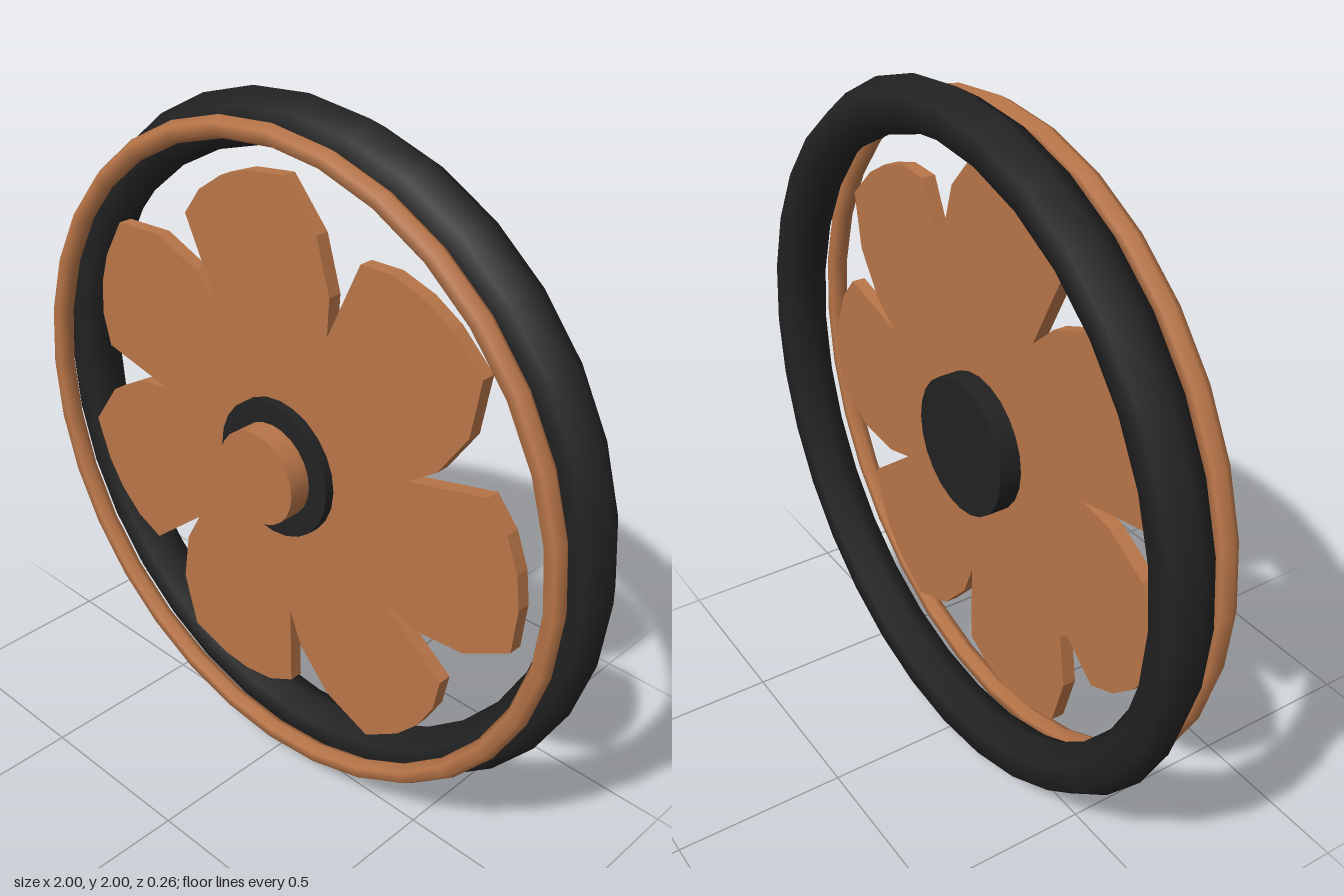
import * as THREE from 'three';

const black = new THREE.MeshStandardMaterial({ color: 0x222222 });
black.name = 'black';
const copper = new THREE.MeshStandardMaterial({ color: 0xb87548 });
copper.name = 'copper';

export function createModel() {
  const group = new THREE.Group();
  const add = (name, geometry, material, z) => {
    const mesh = new THREE.Mesh(geometry, material);
    mesh.name = name;
    mesh.position.set(0, 1, z);
    group.add(mesh);
  };
  // Disc facing the front, from z = back to z = front
  const addDisc = (name, radius, back, front, material) => {
    const disc = new THREE.CylinderGeometry(radius, radius, front - back, 24);
    add(name, disc.rotateX(Math.PI / 2), material, (back + front) / 2);
  };

  // Outer rim and the thin trim ring in front of it, both with six-sided sections
  add('outerRim', new THREE.TorusGeometry(0.925, 0.075, 6, 32), black, -0.065);
  add('trimRing', new THREE.TorusGeometry(0.925, 0.03, 6, 32), copper, 0.0625);

  // Flower plate: one lopsided petal outline repeated seven times
  const petal = [
    [-0.24, 0.406], [-0.353, 0.631], [-0.294, 0.711], [-0.209, 0.77],
    [-0.118, 0.805], [0.016, 0.824], [0.128, 0.7], [0.174, 0.551],
  ];
  const outline = [];
  for (let i = 0; i < 7; i++) {
    for (const [x, y] of petal) {
      outline.push(new THREE.Vector2(x, y).rotateAround(new THREE.Vector2(), -i * Math.PI * 2 / 7));
    }
  }
  const plate = new THREE.ExtrudeGeometry(new THREE.Shape(outline), { depth: 0.04, bevelEnabled: false });
  add('flowerPlate', plate, copper, 0);

  // Hub and its front cap
  addDisc('hub', 0.2, -0.065, 0.068, black);
  addDisc('hubCap', 0.137, 0.03, 0.134, copper);

  return group;
}
